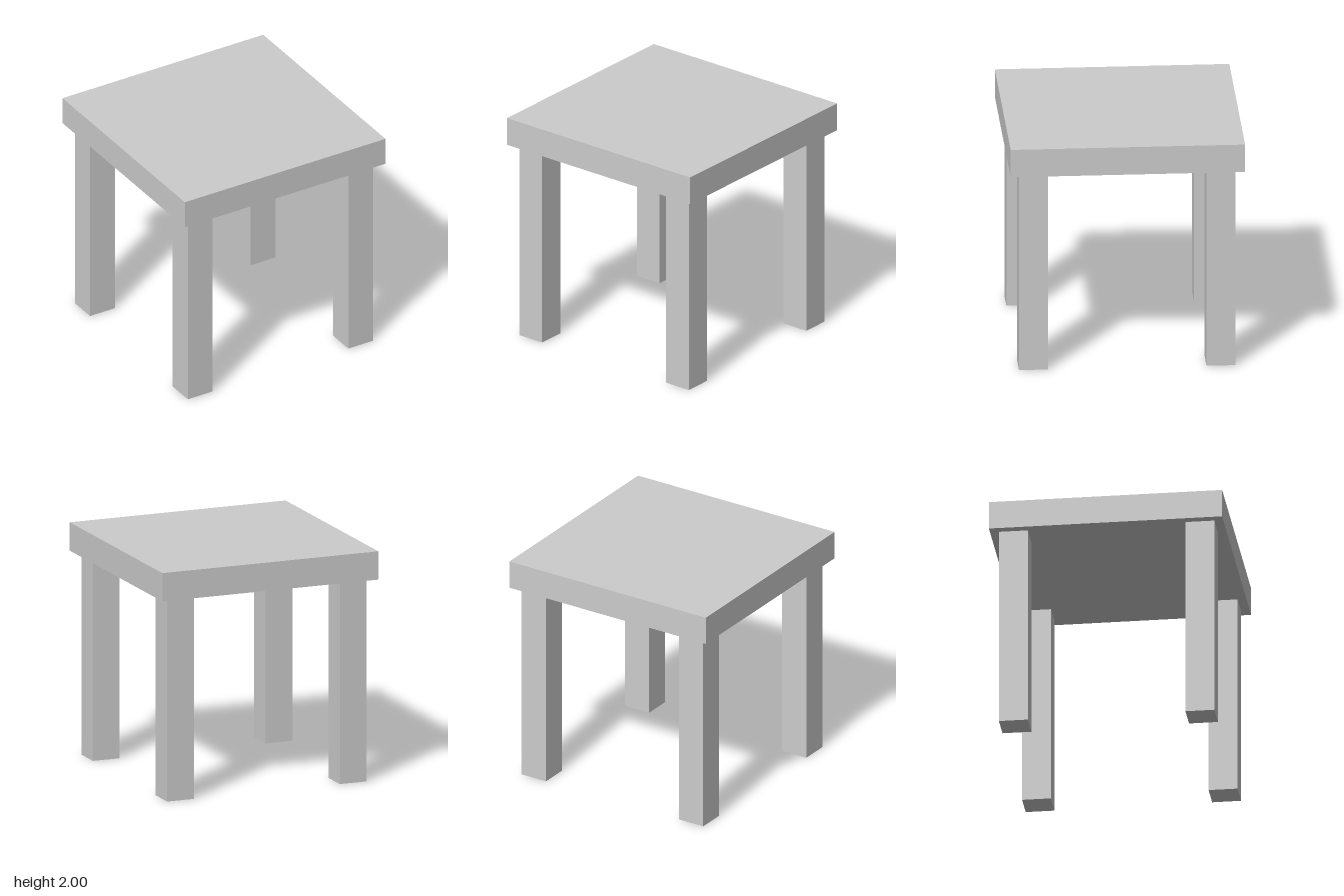
import * as THREE from 'three';

const HEIGHT = 2;
const TOP_WIDTH = 1.976;
const TOP_THICKNESS = 0.245;
const LEG_WIDTH = 0.245;
const LEG_OFFSET = 0.79;
const LEG_HEIGHT = HEIGHT - TOP_THICKNESS;

export function createModel() {
  const table = new THREE.Group();
  table.name = 'table';
  const material = new THREE.MeshStandardMaterial({ color: 0xcccccc, flatShading: true });

  // Square slab top
  const top = new THREE.Mesh(new THREE.BoxGeometry(TOP_WIDTH, TOP_THICKNESS, TOP_WIDTH), material);
  top.name = 'tableTop';
  top.position.y = HEIGHT - TOP_THICKNESS / 2;
  table.add(top);

  // Four square legs, inset from the corners
  const legGeometry = new THREE.BoxGeometry(LEG_WIDTH, LEG_HEIGHT, LEG_WIDTH);
  for (const [zName, z] of [['front', 1], ['back', -1]]) {
    for (const [xName, x] of [['Left', 1], ['Right', -1]]) {
      const leg = new THREE.Mesh(legGeometry, material);
      leg.name = `${zName}${xName}Leg`;
      leg.position.set(x * LEG_OFFSET, LEG_HEIGHT / 2, z * LEG_OFFSET);
      table.add(leg);
    }
  }

  return table;
}
